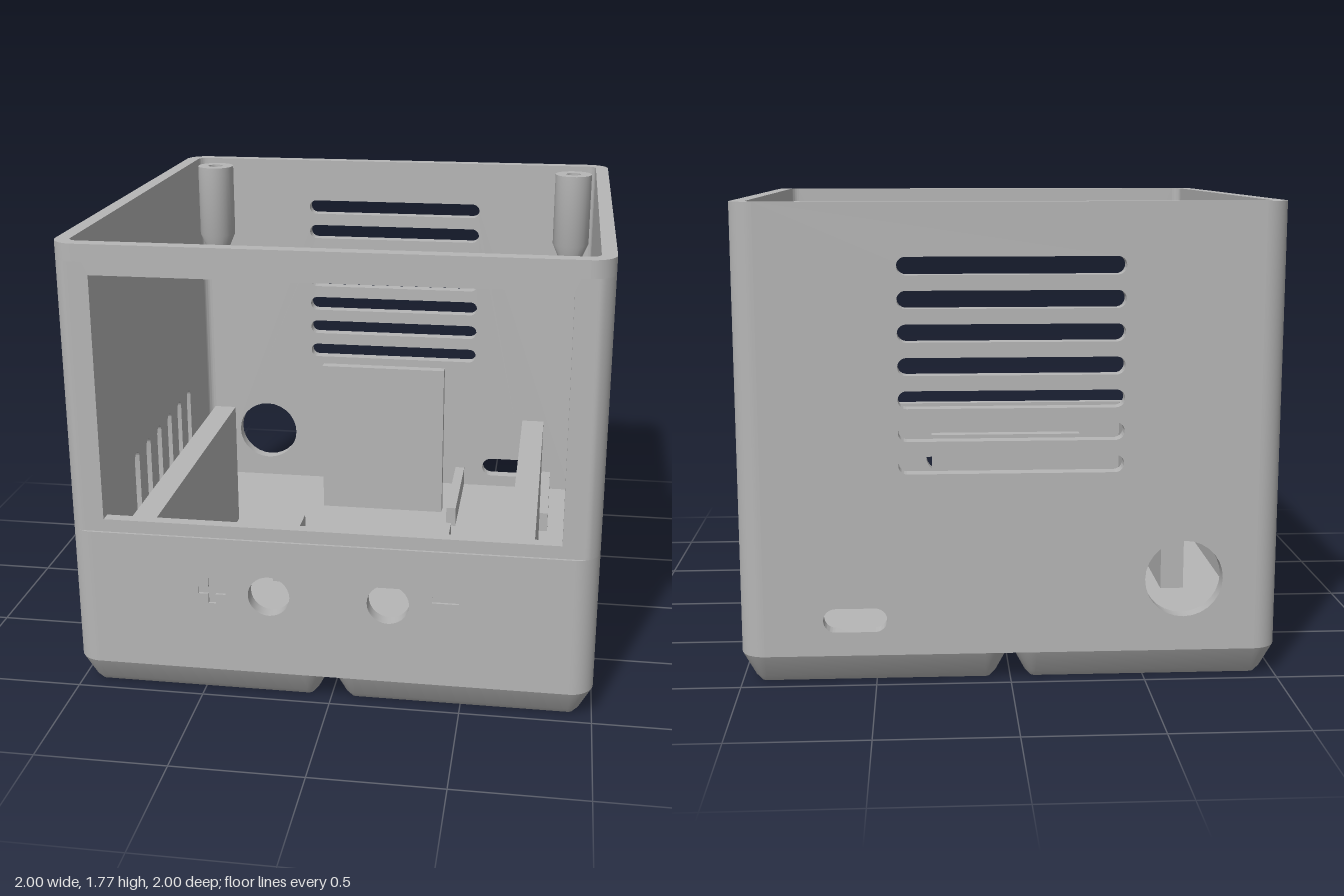
import * as THREE from 'three';
import { toCreasedNormals } from 'three/addons/utils/BufferGeometryUtils.js';

const HEIGHT = 1.775, BASE = 0.115, FLOOR = 0.15;
const INNER = 0.945, CORNER = 0.91, R = 0.09;
const RECESS = 0.99, RECESS_LOW = 0.665, RECESS_HIGH = 1.71;

const range = (n) => [...Array(n).keys()];

// Rounded square outline as points, anticlockwise
function roundedSquare(half, r, steps = 8) {
  const pts = [];
  for (let q = 0; q < 4; q++) {
    const sx = q === 0 || q === 3 ? 1 : -1, sy = q < 2 ? 1 : -1;
    for (let i = 0; i <= steps; i++) {
      const a = (q + i / steps) * Math.PI / 2;
      pts.push(new THREE.Vector2(sx * (half - r) + r * Math.cos(a), sy * (half - r) + r * Math.sin(a)));
    }
  }
  return pts;
}

const rectPoints = (x0, y0, x1, y1) =>
  [[x0, y0], [x1, y0], [x1, y1], [x0, y1]].map((p) => new THREE.Vector2(...p));

const rectHole = (cx, cy, w, h) =>
  new THREE.Path(rectPoints(cx - w / 2, cy - h / 2, cx + w / 2, cy + h / 2));

const circleHole = (cx, cy, r) => new THREE.Path().absarc(cx, cy, r, 0, Math.PI * 2);

// Slot with round ends, lying or upright
function slotHole(cx, cy, w, h) {
  const p = new THREE.Path(), r = Math.min(w, h) / 2;
  if (w > h) {
    p.absarc(cx + w / 2 - r, cy, r, -Math.PI / 2, Math.PI / 2);
    p.absarc(cx - w / 2 + r, cy, r, Math.PI / 2, Math.PI * 1.5);
  } else {
    p.absarc(cx, cy + h / 2 - r, r, 0, Math.PI);
    p.absarc(cx, cy - h / 2 + r, r, Math.PI, Math.PI * 2);
  }
  p.closePath();
  return p;
}

function plusHole(cx, cy, size, t) {
  const a = size / 2, b = t / 2;
  return new THREE.Path([[b, a], [-b, a], [-b, b], [-a, b], [-a, -b], [-b, -b], [-b, -a], [b, -a],
    [b, -b], [a, -b], [a, b], [b, b]].map(([x, y]) => new THREE.Vector2(cx + x, cy + y)));
}

function extrude(shape, depth) {
  return toCreasedNormals(new THREE.ExtrudeGeometry(shape, { depth, bevelEnabled: false, curveSegments: 14 }), 0.6);
}

// Upright panel cut by holes
function panel(y0, y1, depth, holes) {
  const shape = new THREE.Shape(rectPoints(-CORNER, y0, CORNER, y1));
  shape.holes = holes;
  return extrude(shape, depth);
}

// Floor-plan outline raised from y0 to y1
function raise(points, y0, y1) {
  return extrude(new THREE.Shape(points), y1 - y0).rotateX(-Math.PI / 2).translate(0, y0, 0);
}

// Curved corner of the wall, cut flat at zMax
function cornerGeometry(sx, sz, y0, y1, zMax) {
  const pts = [], n = 12;
  const add = (r, i) => {
    const a = i / n * Math.PI / 2;
    const z = sz * (CORNER + r * Math.sin(a));
    pts.push(new THREE.Vector2(sx * (CORNER + r * Math.cos(a)), -Math.min(z, zMax)));
  };
  for (let i = 0; i <= n; i++) add(R, i);
  for (let i = n; i >= 0; i--) add(INNER - CORNER, i);
  return raise(pts, y0, y1);
}

// Flared side of a foot, lofted through [half width, y] rings
function footSide(rings) {
  const pos = [], idx = [];
  const loops = rings.map(([half]) => roundedSquare(half, R - (0.4975 - half)));
  const n = loops[0].length;
  loops.forEach((loop, k) => loop.forEach((p) => pos.push(p.x, rings[k][1], -p.y)));
  for (let k = 0; k < rings.length - 1; k++) {
    for (let i = 0; i < n; i++) {
      const a = k * n + i, b = k * n + (i + 1) % n;
      idx.push(a, b, b + n, a, b + n, a + n);
    }
  }
  const g = new THREE.BufferGeometry();
  g.setAttribute('position', new THREE.Float32BufferAttribute(pos, 3));
  g.setIndex(idx);
  return toCreasedNormals(g, 0.4);
}

const lathe = (pts, segments) =>
  toCreasedNormals(new THREE.LatheGeometry(pts.map((p) => new THREE.Vector2(...p)), segments), 0.5);

export function createModel() {
  const model = new THREE.Group();
  model.name = 'ventedEnclosure';
  const grey = new THREE.MeshStandardMaterial({ color: 0xb6b6b6 });
  grey.name = 'grey plastic';

  const add = (name, geometry, x = 0, y = 0, z = 0, parent = model) => {
    const mesh = new THREE.Mesh(geometry, grey);
    mesh.name = name;
    mesh.position.set(x, y, z);
    parent.add(mesh);
    return mesh;
  };
  const block = (name, x0, x1, y1, z0, z1) =>
    add(name, new THREE.BoxGeometry(x1 - x0, y1 - FLOOR, z1 - z0),
      (x0 + x1) / 2, (FLOOR + y1) / 2, (z0 + z1) / 2);

  // Front wall: inner slab with window, outer skins around a shallow recess
  const buttons = () => [-0.228, 0.226].map((x) => circleHole(x, 0.44, 0.08));
  const window = rectHole(0, 1.1875, 1.72, 0.945);
  add('frontWall', panel(BASE, HEIGHT, RECESS - INNER, [window, ...buttons()]), 0, 0, INNER);
  add('frontLowerSkin', panel(BASE, RECESS_LOW, 1 - RECESS,
    [...buttons(), plusHole(-0.447, 0.45, 0.105, 0.028), rectHole(0.441, 0.47, 0.1, 0.026)]), 0, 0, RECESS);
  add('frontUpperSkin', panel(RECESS_HIGH, HEIGHT, 1 - RECESS, []), 0, 0, RECESS);

  // Back wall: vents, cable hole and charging port
  const vents = range(7).map((i) => slotHole(0, 0.83 + i * 0.12, 0.82, 0.065));
  add('backWall', panel(BASE, HEIGHT, 1 - INNER,
    [...vents, circleHole(-0.64, 0.39, 0.145), slotHole(0.575, 0.25, 0.235, 0.09)]), 0, 0, -1);

  // Side walls with upright vents
  for (const [name, x] of [['leftWall', INNER], ['rightWall', -1]]) {
    const slots = range(6).map((i) => slotHole(-0.285 + i * 0.168, 0.515, 0.066, 0.4));
    add(name, panel(BASE, HEIGHT, 1 - INNER, slots).rotateY(Math.PI / 2), x);
  }

  // Rounded corners; the front pair is trimmed along the recess
  for (const sx of [-1, 1]) {
    add('backCorner', cornerGeometry(sx, -1, BASE, HEIGHT, 1));
    add('frontCornerLower', cornerGeometry(sx, 1, BASE, RECESS_LOW, 1));
    add('frontCornerMiddle', cornerGeometry(sx, 1, RECESS_LOW, RECESS_HIGH, RECESS));
    add('frontCornerUpper', cornerGeometry(sx, 1, RECESS_HIGH, HEIGHT, 1));
  }

  // Floor
  add('floor', raise(roundedSquare(INNER, INNER - CORNER), BASE, FLOOR));

  // Four feet, each with four magnet pockets
  const side = footSide([[0.4275, 0], [0.4495, 0.025], [0.4975, BASE]]);
  const sole = new THREE.Shape(roundedSquare(0.4275, 0.02));
  const pocket = lathe([[0, 0.057], [0.077, 0.057], [0.077, 0]], 28);
  const spots = [[-1, -1], [1, -1], [1, 1], [-1, 1]];
  sole.holes = spots.map(([x, z]) => circleHole(x * 0.31, z * 0.31, 0.077));
  const soleGeometry = new THREE.ShapeGeometry(sole, 14).rotateX(Math.PI / 2);
  for (const [fx, fz] of spots) {
    const foot = new THREE.Group();
    foot.name = 'foot';
    foot.position.set(fx * 0.5025, 0, fz * 0.5025);
    add('footSide', side, 0, 0, 0, foot);
    add('footSole', soleGeometry, 0, 0, 0, foot);
    for (const [x, z] of spots) add('magnetPocket', pocket, x * 0.31, 0, z * 0.31, foot);
    model.add(foot);
  }

  // Screw posts in the back corners, tapering to a point
  const post = lathe([[0, 1.27], [0.015, 1.27], [0.083, 1.43], [0.083, 1.755],
    [0.033, 1.755], [0.033, 1.45], [0, 1.45]], 32);
  for (const sx of [-1, 1]) add('screwPost', post, sx * 0.845, 0, -0.845);

  // Inside: long side partitions, rear divider, board rails and U-shaped holder
  for (const s of [-1, 1]) {
    const x = s * 0.7125;
    block('sidePartition', x - 0.0475, x + 0.0475, 0.715, -0.355, INNER);
    block('holderArm', s * 0.3375 - 0.0275, s * 0.3375 + 0.0275, 0.265, -0.185, 0.285);
  }
  block('holderFront', -0.31, 0.31, 0.265, 0.235, 0.285);
  block('rearDivider', -0.29, 0.287, 0.865, -0.615, -0.57);
  block('boardRail', 0.323, 0.367, 0.24, -INNER, -0.415);
  block('boardRail', 0.752, 0.798, 0.24, -INNER, -0.415);

  return model;
}
